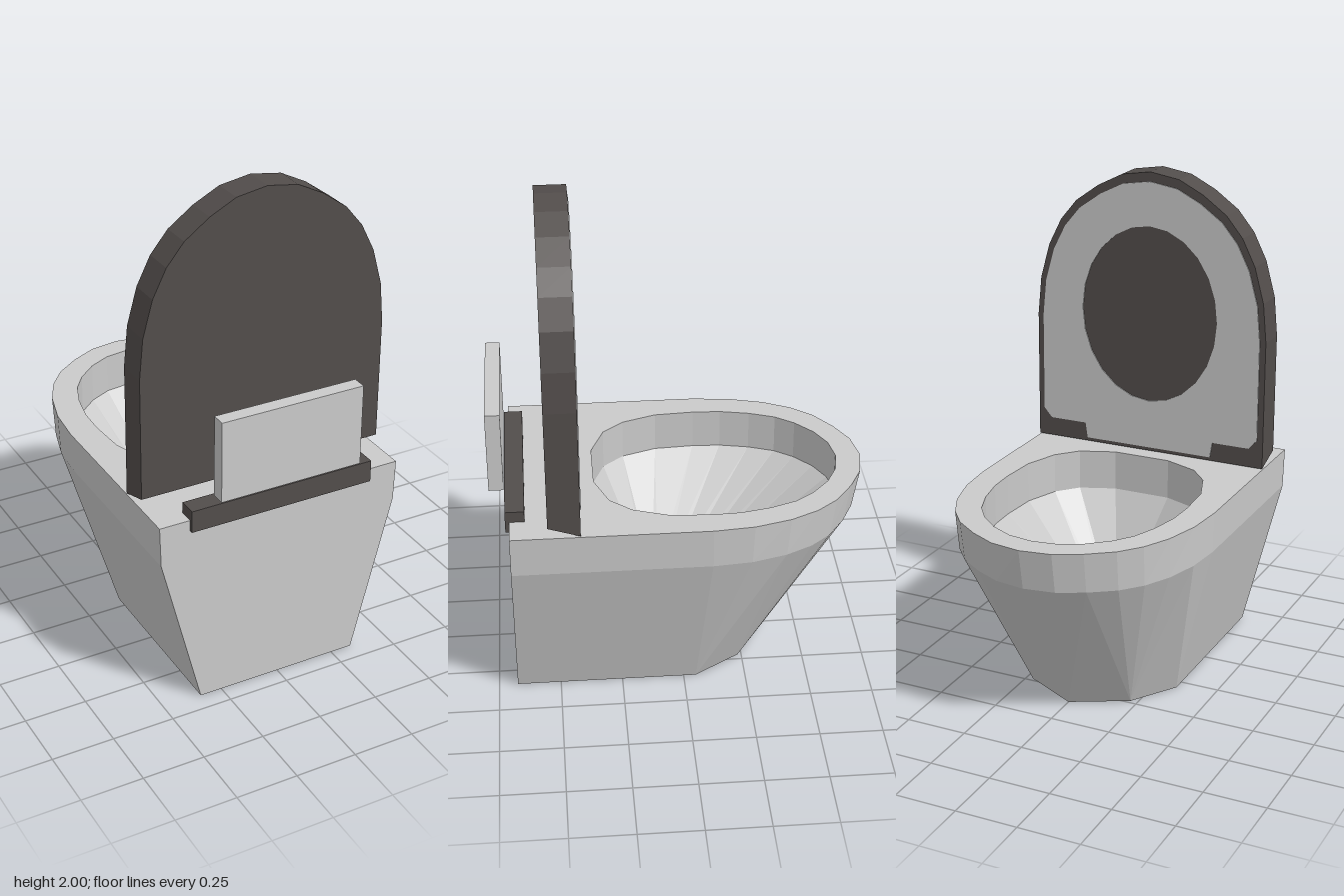
import * as THREE from 'three';

// Half of the rounded front arch, from tip to side: [x, distance forward]
const ARCH = [[0, 0.745], [0.125, 0.725], [0.23, 0.672], [0.33, 0.6], [0.4, 0.515], [0.455, 0.405], [0.495, 0.26], [0.51, 0.1]];

// Complete a half outline (starting on the centre line) with its mirror image
const mirror = (half) => [...half, ...half.slice(1).reverse().map(([x, v]) => [-x, v])];
const vectors = (pts) => pts.map(([x, v]) => new THREE.Vector2(x, v));

// Flat-faced wall between two loops of [x, z] points; faces outward when the first loop is lower
function loft(loopA, yA, loopB, yB) {
  const pos = [];
  const n = loopA.length;
  for (let i = 0; i < n; i++) {
    const j = (i + 1) % n;
    const a0 = [loopA[i][0], yA, loopA[i][1]], a1 = [loopA[j][0], yA, loopA[j][1]];
    const b0 = [loopB[i][0], yB, loopB[i][1]], b1 = [loopB[j][0], yB, loopB[j][1]];
    pos.push(...a0, ...b0, ...a1, ...b0, ...b1, ...a1);
  }
  const geo = new THREE.BufferGeometry();
  geo.setAttribute('position', new THREE.Float32BufferAttribute(pos, 3));
  geo.computeVertexNormals();
  return geo;
}

// Horizontal cap for a loop of [x, z] points
function cap(loop, y, up = true, hole = null) {
  const flip = ([x, z]) => [x, up ? -z : z];
  const shape = new THREE.Shape(vectors(loop.map(flip)));
  if (hole) shape.holes.push(new THREE.Path(vectors(hole.map(flip))));
  return new THREE.ShapeGeometry(shape).rotateX(up ? -Math.PI / 2 : Math.PI / 2).translate(0, y, 0);
}

export function createModel() {
  const group = new THREE.Group();
  const ceramic = new THREE.MeshStandardMaterial({ color: 0xcacaca });
  ceramic.name = 'light grey ceramic';
  const dark = new THREE.MeshStandardMaterial({ color: 0x524d4b });
  dark.name = 'dark grey plastic';

  const add = (name, geo, mat, parent = group) => {
    const mesh = new THREE.Mesh(geo, mat);
    mesh.name = name;
    parent.add(mesh);
    return mesh;
  };
  const box = (name, mat, x, y0, y1, z0, z1) =>
    add(name, new THREE.BoxGeometry(2 * x, y1 - y0, z1 - z0).translate(0, (y0 + y1) / 2, (z0 + z1) / 2), mat);

  // Body outlines: rim, shoulder just below it, and narrow foot
  const back = 0.675;
  const rim = mirror([...ARCH.map(([x, t]) => [x, -t]), [0.51, back]]);
  const shoulder = mirror([...ARCH.map(([x, t]) => [x * 0.99, -0.1 - (t - 0.1) * 0.955]), [0.505, back]]);
  const tip = [0, -0.35], mid = [0.22, -0.235], side = [0.34, -0.05];
  const foot = mirror([tip, tip, mid, mid, mid, mid, side, side, [0.34, back]]);
  const footCap = mirror([tip, mid, side, [0.34, back]]);

  // Bowl opening and the small drain
  const opening = mirror([[0, -0.645], [0.1, -0.63], [0.19, -0.585], [0.27, -0.515], [0.325, -0.44], [0.365, -0.335],
    [0.39, -0.215], [0.395, -0.1], [0.385, 0.06], [0.335, 0.2], [0.26, 0.285], [0.12, 0.34]]);
  const drain = opening.map((p, i) => {
    const a = (i / opening.length) * Math.PI * 2;
    return [0.09 * Math.sin(a), -0.128 * Math.cos(a)];
  });

  const body = new THREE.Group();
  body.name = 'body';
  group.add(body);
  const top = 0.815, bend = 0.65, depth = 0.25;
  add('lowerBody', loft(foot, 0, shoulder, bend), ceramic, body);
  add('rimBand', loft(shoulder, bend, rim, top), ceramic, body);
  add('rimTop', cap(rim, top, true, opening), ceramic, body);
  add('footBase', cap(footCap, 0, false), ceramic, body);
  add('innerRim', loft(opening, top, opening, bend), ceramic, body);
  add('bowl', loft(opening, bend, drain, depth), ceramic, body);
  add('drain', cap(drain, depth), ceramic, body);

  // Raised lid, its lower edge sloping up towards the back
  const lidShape = new THREE.Shape(vectors(mirror([...ARCH.map(([x, t]) => [x, t + 1.255]), [0.51, 0.82]])));
  const lid = new THREE.ExtrudeGeometry(lidShape, { depth: 0.125, bevelEnabled: false }).translate(0, 0, 0.405);
  const p = lid.attributes.position;
  for (let i = 0; i < p.count; i++) if (p.getY(i) < 0.83 && p.getZ(i) > 0.5) p.setY(i, 0.86);
  lid.computeVertexNormals();
  add('lid', lid, dark);

  // Seat ring on the inside of the lid, notched at the lower corners
  const seatShape = new THREE.Shape(vectors(mirror([
    ...ARCH.map(([x, t]) => [x * 0.95, 1.355 + (t - 0.1) * 0.94]),
    [0.485, 0.94], [0.45, 0.9], [0.29, 0.9], [0.28, 0.835]])));
  seatShape.holes.push(new THREE.Path().absellipse(0, 1.41, 0.3, 0.37, 0, Math.PI * 2));
  add('seat', new THREE.ExtrudeGeometry(seatShape, { depth: 0.005, bevelEnabled: false, curveSegments: 12 })
    .translate(0, 0, 0.401), ceramic);

  // Hinge bar over the back edge and the flush plate behind it
  box('hingeBar', dark, 0.385, 0.77, 0.86, 0.615, 0.69);
  box('flushPlate', ceramic, 0.295, 0.905, 1.235, 0.69, 0.748);

  return group;
}
